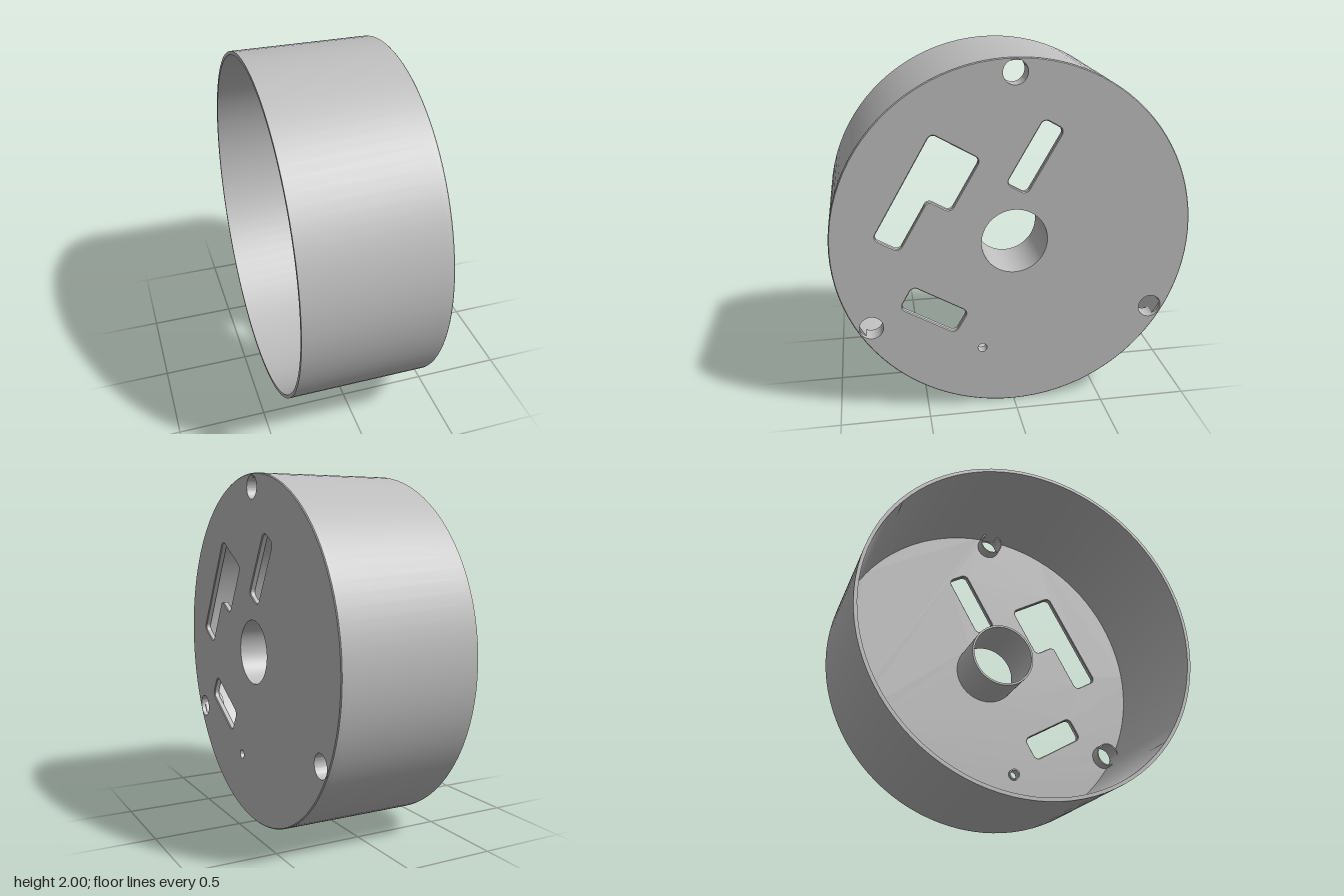
import * as THREE from 'three';
import { toCreasedNormals } from 'three/addons/utils/BufferGeometryUtils.js';

const SEG = 48;
const CENTRE_Y = 1;
const FACE = 0.4;          // outer face of the plate
const PLATE = 0.035;       // plate thickness
const BEVEL = 0.005;

// Circle path in the disc plane
function circle(Type, x, y, r) {
  const p = new Type();
  p.absarc(x, y, r, 0, Math.PI * 2, false);
  return p;
}

// Rounded polygon cut-out; points are given in a frame turned by 60 degrees
// (p along the slanted axis, q across it)
function slot(points, r = 0.03) {
  const c = Math.cos(Math.PI / 3), s = Math.sin(Math.PI / 3);
  const v = points.map(([p, q]) => new THREE.Vector2(p * c + q * s, p * s - q * c));
  const path = new THREE.Path();
  v.forEach((corner, i) => {
    const prev = v[(i + v.length - 1) % v.length];
    const next = v[(i + 1) % v.length];
    const a = prev.clone().sub(corner).setLength(r).add(corner);
    const b = next.clone().sub(corner).setLength(r).add(corner);
    if (i === 0) path.moveTo(a.x, a.y);
    else path.lineTo(a.x, a.y);
    path.bezierCurveTo(
      a.x + (corner.x - a.x) * 0.55, a.y + (corner.y - a.y) * 0.55,
      b.x + (corner.x - b.x) * 0.55, b.y + (corner.y - b.y) * 0.55, b.x, b.y);
  });
  path.closePath();
  return path;
}

const rect = (p0, p1, q0, q1) => slot([[p0, q0], [p1, q0], [p1, q1], [p0, q1]]);

// Extrude a disc-plane shape along x, from x0 to x1
function extrudeX(shape, x0, x1, bevel = 0, curveSegments = SEG) {
  const g = new THREE.ExtrudeGeometry(shape, {
    depth: x1 - x0 - 2 * bevel, curveSegments,
    bevelEnabled: bevel > 0, bevelSize: bevel, bevelThickness: bevel,
    bevelOffset: -bevel, bevelSegments: 1,
  });
  g.translate(0, 0, x0 + bevel);
  g.rotateY(Math.PI / 2);
  g.translate(0, CENTRE_Y, 0);
  return toCreasedNormals(g, 0.5);
}

export function createModel() {
  const group = new THREE.Group();
  const grey = new THREE.MeshStandardMaterial({ color: 0xbfbfbf });
  grey.name = 'plain grey';

  const add = (name, geometry) => {
    const mesh = new THREE.Mesh(geometry, grey);
    mesh.name = name;
    group.add(mesh);
  };
  const tube = (name, x, y, outer, inner, x0, x1) => {
    const s = circle(THREE.Shape, x, y, outer);
    s.holes.push(circle(THREE.Path, x, y, inner));
    add(name, extrudeX(s, x0, x1));
  };

  // Round bosses: name, position in the disc plane, bore, outer radius, inner end
  const bosses = [
    ['centreHub', 0, 0, 0.183, 0.195, 0.07],
    ['pinBoss', -0.183, -0.643, 0.026, 0.034, 0.345],
  ];
  for (let i = 0; i < 3; i++) {
    const a = Math.PI / 2 + (i * Math.PI * 2) / 3;
    bosses.push(['screwBoss' + (i + 1), 0.924 * Math.cos(a), 0.924 * Math.sin(a), 0.066, 0.073, 0.296]);
  }

  // Face plate with its cut-outs
  const plate = circle(THREE.Shape, 0, 0, 1);
  plate.holes.push(
    rect(0.265, 0.662, -0.205, -0.08),
    rect(-0.627, -0.484, -0.374, -0.026),
    slot([[-0.328, -0.693], [0.317, -0.693], [0.317, -0.398],
      [-0.007, -0.398], [-0.007, -0.538], [-0.328, -0.538]]),
    ...bosses.map(([, x, y, bore]) => circle(THREE.Path, x, y, bore)),
  );
  add('facePlate', extrudeX(plate, FACE - PLATE, FACE, BEVEL));

  // Thin drum wall, open at the far end
  tube('drumWall', 0, 0, 1, 0.98, -0.4, FACE - PLATE + 0.01);

  // Hub and bosses standing on the inside of the plate
  for (const [name, x, y, bore, outer, x0] of bosses) tube(name, x, y, outer, bore, x0, FACE);

  return group;
}
